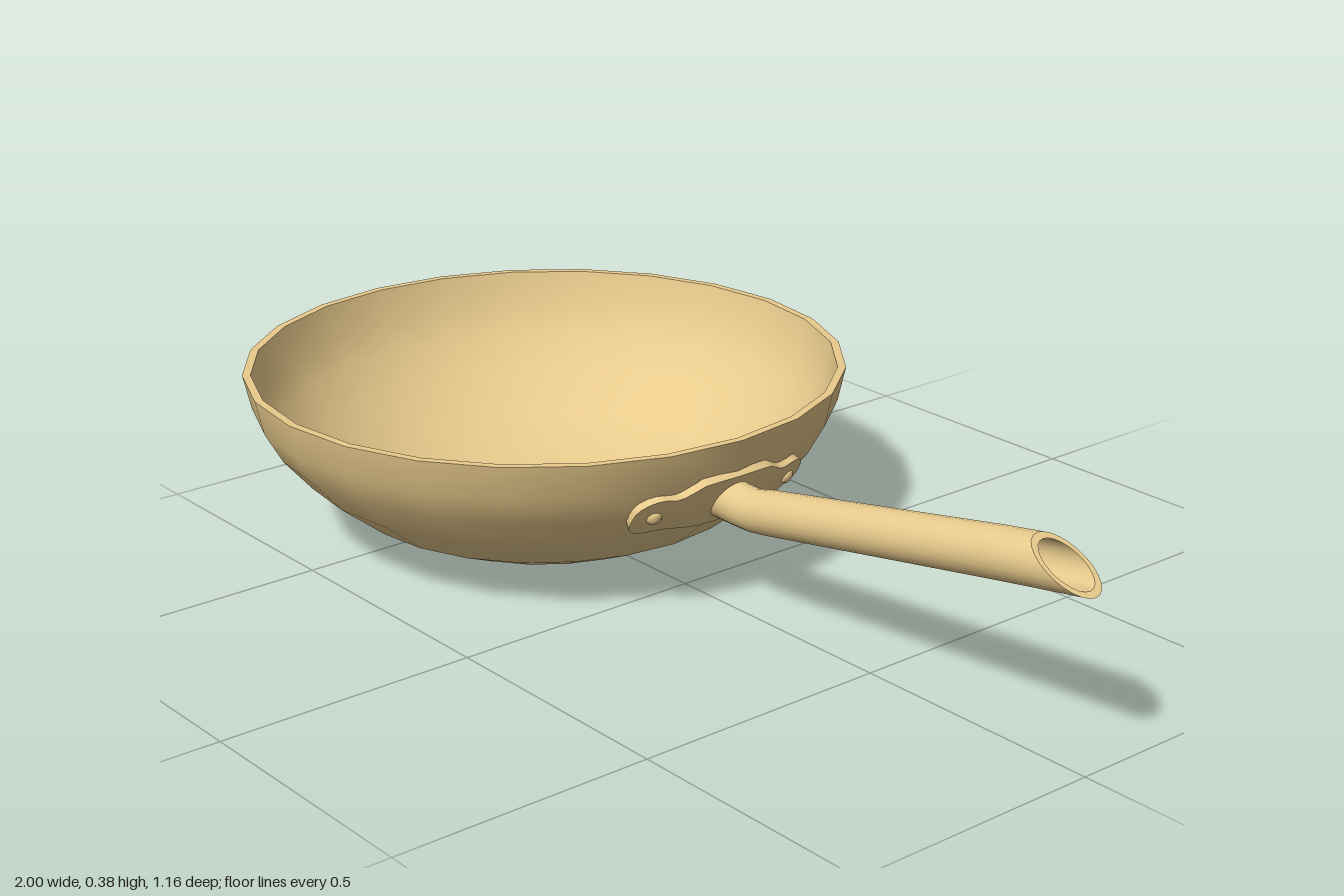
import * as THREE from 'three';
import { toCreasedNormals } from 'three/addons/utils/BufferGeometryUtils.js';

const CX = -0.42; // bowl axis
const OUTER = [[0, 0], [0.17, 0.003], [0.28, 0.02], [0.388, 0.07], [0.478, 0.142],
  [0.532, 0.205], [0.565, 0.265], [0.58, 0.333]];
const INNER = [[0.564, 0.333], [0.549, 0.268], [0.517, 0.212], [0.465, 0.153],
  [0.378, 0.084], [0.275, 0.035], [0.17, 0.018], [0, 0.015]];

// Outer bowl radius at a given height
function bowlRadius(y) {
  for (let i = 1; i < OUTER.length; i++) {
    const [r0, y0] = OUTER[i - 1], [r1, y1] = OUTER[i];
    if (y <= y1) return r0 + (r1 - r0) * (y - y0) / (y1 - y0);
  }
  return 0.58;
}

// Outward direction of the bowl wall around the handle
function wallNormal(z, r) {
  const a = Math.asin(z / r);
  return new THREE.Vector3(Math.cos(a) * 0.87, -0.5, Math.sin(a) * 0.87);
}

// Point on the outer wall, raised by an offset
function onWall(y, z, offset) {
  const r = bowlRadius(y);
  return new THREE.Vector3(CX + Math.sqrt(r * r - z * z), y, z)
    .addScaledVector(wallNormal(z, r), offset);
}

// Skin over closed rings with equal point counts
function loft(rings, crease) {
  const n = rings[0].length, index = [];
  for (let i = 0; i < rings.length - 1; i++) {
    for (let j = 0; j < n; j++) {
      const a = i * n + j, b = i * n + (j + 1) % n;
      index.push(a, b, b + n, a, b + n, a + n);
    }
  }
  const geo = new THREE.BufferGeometry().setFromPoints(rings.flat());
  geo.setIndex(index);
  geo.computeVertexNormals();
  return toCreasedNormals(geo, crease);
}

export function createModel() {
  const group = new THREE.Group();
  const material = new THREE.MeshStandardMaterial({ color: 0xe8ca8c });
  const add = (name, geo) => {
    const mesh = new THREE.Mesh(geo, material);
    mesh.name = name;
    group.add(mesh);
    return mesh;
  };

  // Bowl: outer wall, rim and inner wall in one profile
  const profile = [...OUTER, ...INNER].map(([r, y]) => new THREE.Vector2(r, y));
  add('bowl', toCreasedNormals(new THREE.LatheGeometry(profile, 24), 0.6)).position.x = CX;

  // Bracket plate: [z, bottom, top] sections wrapped on the wall
  const half = [[0, 0.16, 0.27], [0.04, 0.161, 0.27], [0.075, 0.166, 0.268], [0.095, 0.171, 0.258],
    [0.11, 0.174, 0.25], [0.125, 0.175, 0.247], [0.145, 0.174, 0.251], [0.16, 0.174, 0.251],
    [0.175, 0.178, 0.246], [0.187, 0.187, 0.237], [0.193, 0.197, 0.227], [0.195, 0.212, 0.212]];
  const sections = [...half.slice(1).reverse().map(([z, b, t]) => [-z, b, t]), ...half];
  const steps = 6;
  add('bracketPlate', loft(sections.map(([z, b, t]) => {
    const ring = [];
    for (let k = 0; k <= steps; k++) ring.push(onWall(b + (t - b) * k / steps, z, 0.012));
    for (let k = steps; k >= 0; k--) ring.push(onWall(b + (t - b) * k / steps, z, -0.006));
    return ring;
  }), 0.6));

  // Rivets through plate and wall, domed at both ends
  const rivet = new THREE.LatheGeometry([[0, -0.027], [0.009, -0.025], [0.015, -0.018],
    [0.015, 0.013], [0.009, 0.019], [0, 0.021]].map(([r, y]) => new THREE.Vector2(r, y)), 12);
  for (const side of [-1, 1]) {
    const z = side * 0.155, y = 0.212;
    const mesh = add(side > 0 ? 'frontRivet' : 'backRivet', rivet);
    mesh.position.copy(onWall(y, z, 0));
    mesh.quaternion.setFromUnitVectors(new THREE.Vector3(0, 1, 0),
      wallNormal(z, bowlRadius(y)).normalize());
  }

  // Hollow handle with slanted end: [centre x, y, up x, up y, half width]
  const handleRings = [
    [0.115, 0.21, 0.025, 0.04, 0.04], [0.17, 0.209, 0.003, 0.04, 0.04],
    [0.2, 0.21, -0.004, 0.04, 0.04], [0.235, 0.217, -0.008, 0.041, 0.041],
    [0.8, 0.326, -0.009, 0.045, 0.045], [0.935, 0.35, -0.065, 0.035, 0.046],
    [0.935, 0.35, -0.052, 0.028, 0.037], [0.8, 0.326, -0.007, 0.036, 0.036],
    [0.25, 0.22, -0.006, 0.032, 0.032], [0.25, 0.22, 0, 0, 0]];
  const sides = 24;
  add('handle', loft(handleRings.map(([x, y, ux, uy, w]) =>
    Array.from({ length: sides }, (_, j) => {
      const a = j / sides * Math.PI * 2, c = Math.cos(a);
      return new THREE.Vector3(x + ux * c, y + uy * c, w * Math.sin(a));
    })), 0.6));

  return group;
}
